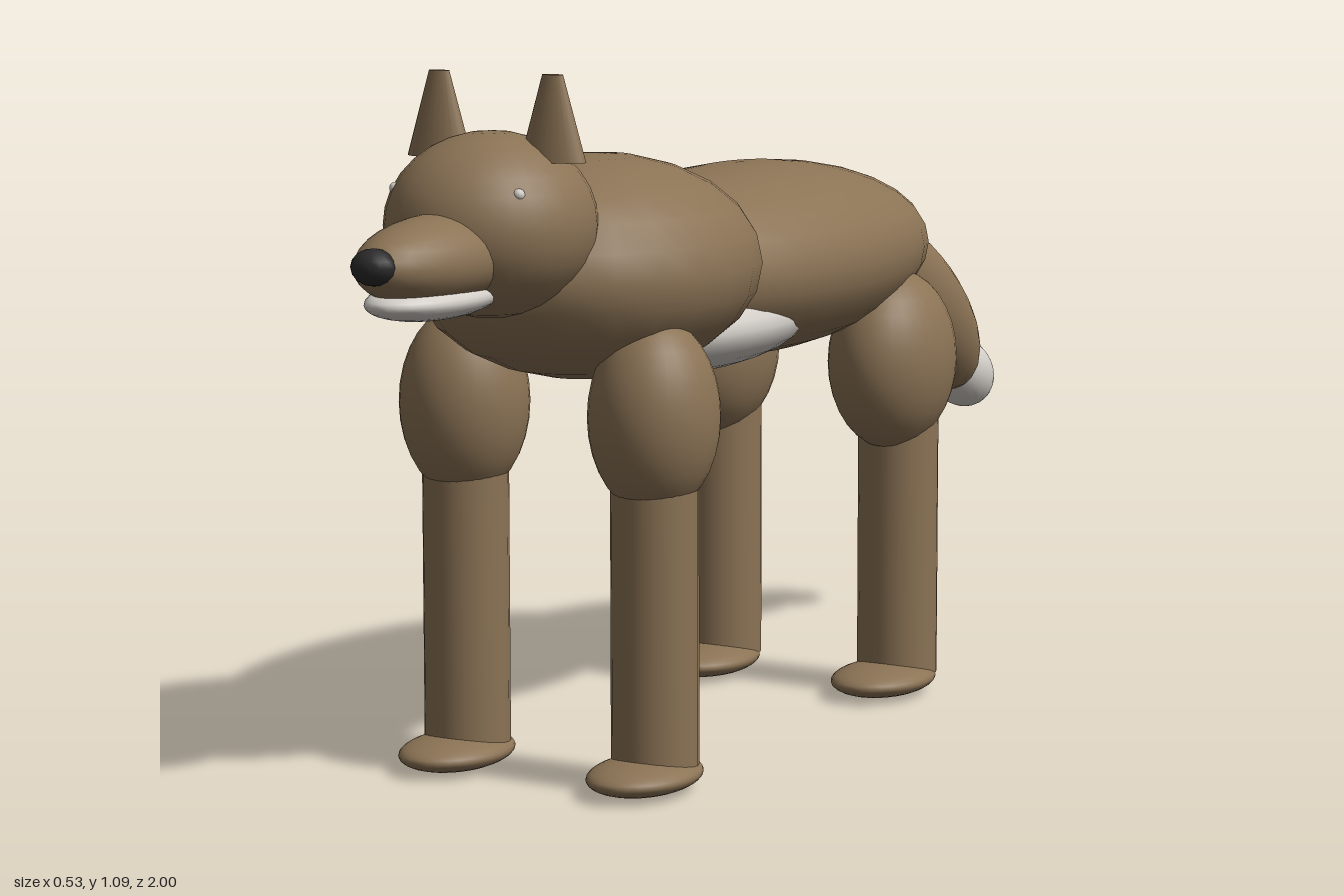
import * as THREE from 'three';

const material = (name, color) => {
  const m = new THREE.MeshStandardMaterial({ color });
  m.name = name;
  return m;
};

export function createModel() {
  const model = new THREE.Group();
  model.name = 'fourLeggedAnimal';
  const fur = material('brownFur', 0x8b7355);
  const pale = material('paleFur', 0xd3cec8);
  const dark = material('darkNose', 0x2a2a2a);

  const add = (name, geometry, mat, [x, y, z], parent = model) => {
    const mesh = new THREE.Mesh(geometry, mat);
    mesh.name = name;
    mesh.position.set(x, y, z);
    parent.add(mesh);
    return mesh;
  };
  // Smooth ellipsoid given by its centre and three radii
  const ellipsoid = (name, mat, centre, [rx, ry, rz], parent, seg = 32) =>
    add(name, new THREE.SphereGeometry(1, seg, seg / 2).scale(rx, ry, rz), mat, centre, parent);

  // Torso
  ellipsoid('body', fur, [0, 0.745, -0.1], [0.237, 0.155, 0.5]);
  ellipsoid('chest', fur, [0, 0.78, 0.38], [0.252, 0.172, 0.31], model, 24);
  ellipsoid('belly', pale, [0, 0.67, 0.15], [0.197, 0.082, 0.32]);

  // Head
  const head = new THREE.Group();
  head.name = 'head';
  model.add(head);
  ellipsoid('skull', fur, [0, 0.868, 0.66], [0.156, 0.138, 0.165], head);
  ellipsoid('snout', fur, [0, 0.83, 0.8], [0.085, 0.067, 0.185], head);
  ellipsoid('lowerJaw', pale, [0, 0.775, 0.82], [0.073, 0.03, 0.14], head);
  ellipsoid('nose', dark, [0, 0.835, 0.97], [0.035, 0.027, 0.03], head, 16);

  for (const side of [-1, 1]) {
    const label = side > 0 ? 'left' : 'right';
    ellipsoid(label + 'Eye', pale, [side * 0.106, 0.924, 0.753], [0.009, 0.009, 0.009], head, 16);

    // Ear: a flattened cone with a blunt top
    const ear = new THREE.CylinderGeometry(0.017, 0.054, 0.127, 24).scale(1, 1, 0.5);
    add(label + 'Ear', ear, fur, [side * 0.098, 1.0265, 0.645], head);

    // Legs: rounded thigh, straight shin and flat paw
    const legs = [
      { name: 'FrontLeg', thighZ: 0.473, thighDepth: 0.106, thighY: 0.57, shinZ: 0.472, pawZ: 0.503 },
      { name: 'HindLeg', thighZ: -0.32, thighDepth: 0.135, thighY: 0.562, shinZ: -0.343, pawZ: -0.293 },
    ];
    for (const l of legs) {
      const leg = new THREE.Group();
      leg.name = label + l.name;
      model.add(leg);
      const x = side * 0.168;
      ellipsoid('thigh', fur, [x, l.thighY, l.thighZ], [0.099, 0.15, l.thighDepth], leg);
      add('shin', new THREE.CylinderGeometry(0.067, 0.067, 0.49, 24), fur, [x, 0.275, l.shinZ], leg);
      ellipsoid('paw', fur, [x, 0.027, l.pawZ], [0.08, 0.027, 0.113], leg);
    }
  }

  // Drooping tail with a pale tip
  ellipsoid('tail', fur, [0, 0.61, -0.695], [0.1, 0.1, 0.28]).rotation.x = -0.617;
  ellipsoid('tailTip', pale, [0, 0.455, -0.927], [0.058, 0.058, 0.08]).rotation.x = -0.617;

  return model;
}
